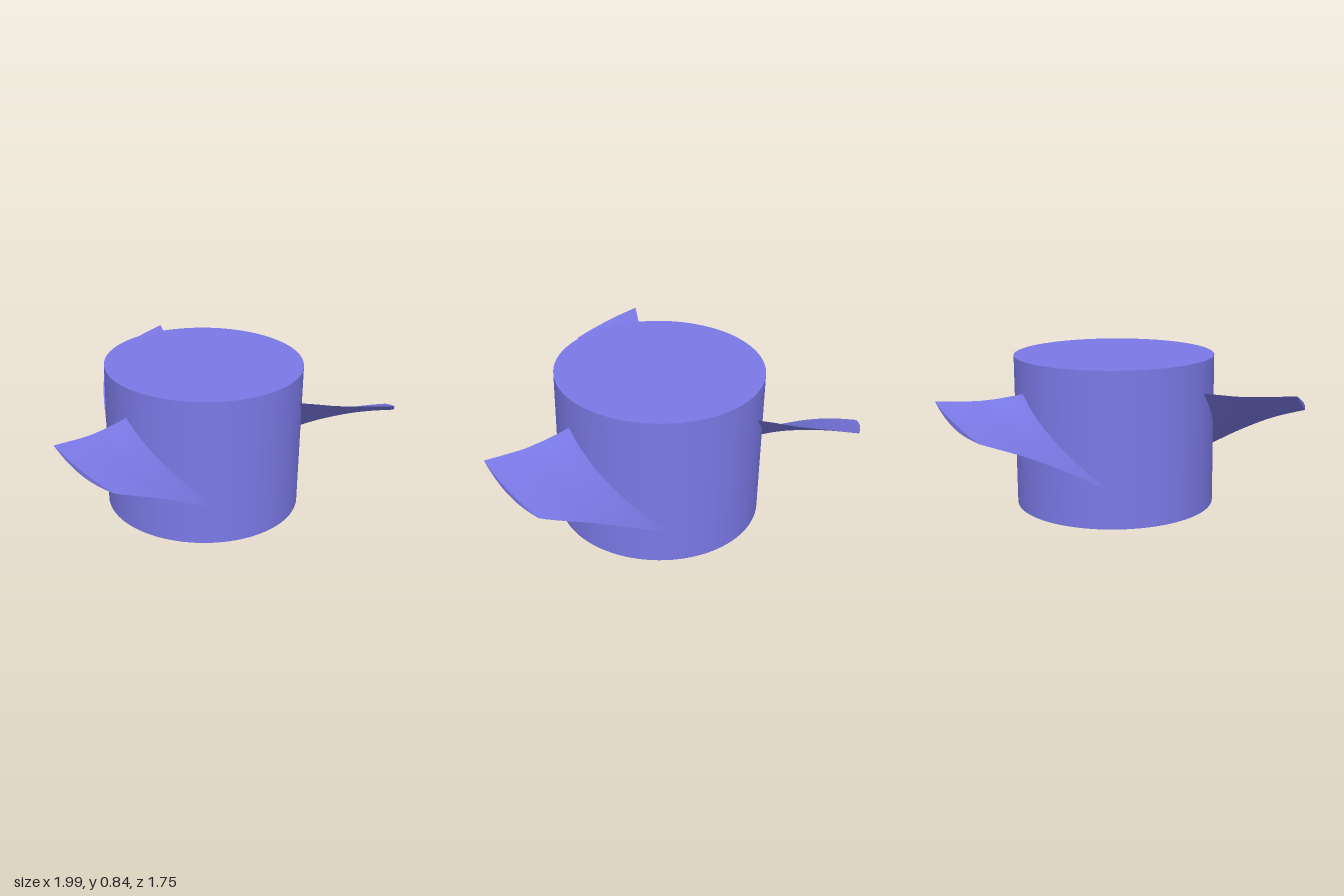
import * as THREE from 'three';
import { mergeGeometries } from 'three/addons/utils/BufferGeometryUtils.js';

const HUB_RADIUS = 0.556;
const HUB_HEIGHT = 0.84;
const THICKNESS = 0.035;

// Blade edges as points (angle in degrees, height, radius), from root to tip
const edge = (points) =>
  new THREE.CatmullRomCurve3(points.map((p) => new THREE.Vector3(...p)), false, 'centripetal');
const leadingEdge = edge([
  [48.5, 0.175, 0.53], [38.3, 0.265, 0.637], [27.2, 0.37, 0.765], [18.2, 0.46, 0.9], [9.5, 0.54, 1.06],
]);
const trailingEdge = edge([
  [-15, 0.665, 0.53], [-12.8, 0.663, 0.637], [-11.6, 0.662, 0.765], [-10.9, 0.672, 0.9], [-10.9, 0.69, 1.06],
]);

// Point on the blade: s runs trailing to leading, t root to tip, side 0 = top, 1 = underside
function bladePoint(s, t, side) {
  const p = trailingEdge.getPoint(t).lerp(leadingEdge.getPoint(t), s);
  const angle = THREE.MathUtils.degToRad(p.x);
  const drop = side * THICKNESS * (1 - 0.25 * t) * Math.sin(Math.PI * s);
  return [Math.sin(angle) * p.z, p.y - drop, Math.cos(angle) * p.z];
}

// Smooth grid patch from a function of (u, v)
function patch(fn, nu, nv, flip) {
  const positions = [];
  const index = [];
  for (let j = 0; j <= nv; j++) {
    for (let i = 0; i <= nu; i++) positions.push(...fn(i / nu, j / nv));
  }
  for (let j = 0; j < nv; j++) {
    for (let i = 0; i < nu; i++) {
      const a = j * (nu + 1) + i;
      const b = a + 1;
      const c = a + nu + 1;
      const d = c + 1;
      if (flip) index.push(a, b, c, b, d, c);
      else index.push(a, c, b, b, c, d);
    }
  }
  const geometry = new THREE.BufferGeometry();
  geometry.setAttribute('position', new THREE.Float32BufferAttribute(positions, 3));
  geometry.setIndex(index);
  geometry.computeVertexNormals();
  return geometry;
}

export function createModel() {
  const model = new THREE.Group();
  model.name = 'propeller';
  const violet = new THREE.MeshStandardMaterial({ color: 0x7b79e6 });
  violet.name = 'violet';

  // Everything turns about the hub axis
  const rotor = new THREE.Group();
  rotor.name = 'rotor';
  rotor.position.set(-0.01, 0, -0.183);
  model.add(rotor);

  // Hub
  const hub = new THREE.Mesh(
    new THREE.CylinderGeometry(HUB_RADIUS, HUB_RADIUS, HUB_HEIGHT, 96), violet);
  hub.name = 'hub';
  hub.position.y = HUB_HEIGHT / 2;
  rotor.add(hub);

  // Twisted blade: top, underside and tip cap
  const bladeGeometry = mergeGeometries([
    patch((s, t) => bladePoint(s, t, 0), 24, 28, false),
    patch((s, t) => bladePoint(s, t, 1), 24, 28, true),
    patch((s, v) => bladePoint(s, 1, 1 - v), 24, 1, true),
  ]);

  // Three equal blades around the hub
  for (let i = 0; i < 3; i++) {
    const blade = new THREE.Mesh(bladeGeometry, violet);
    blade.name = `blade${i + 1}`;
    blade.rotation.y = (i * Math.PI * 2) / 3;
    rotor.add(blade);
  }
  return model;
}
